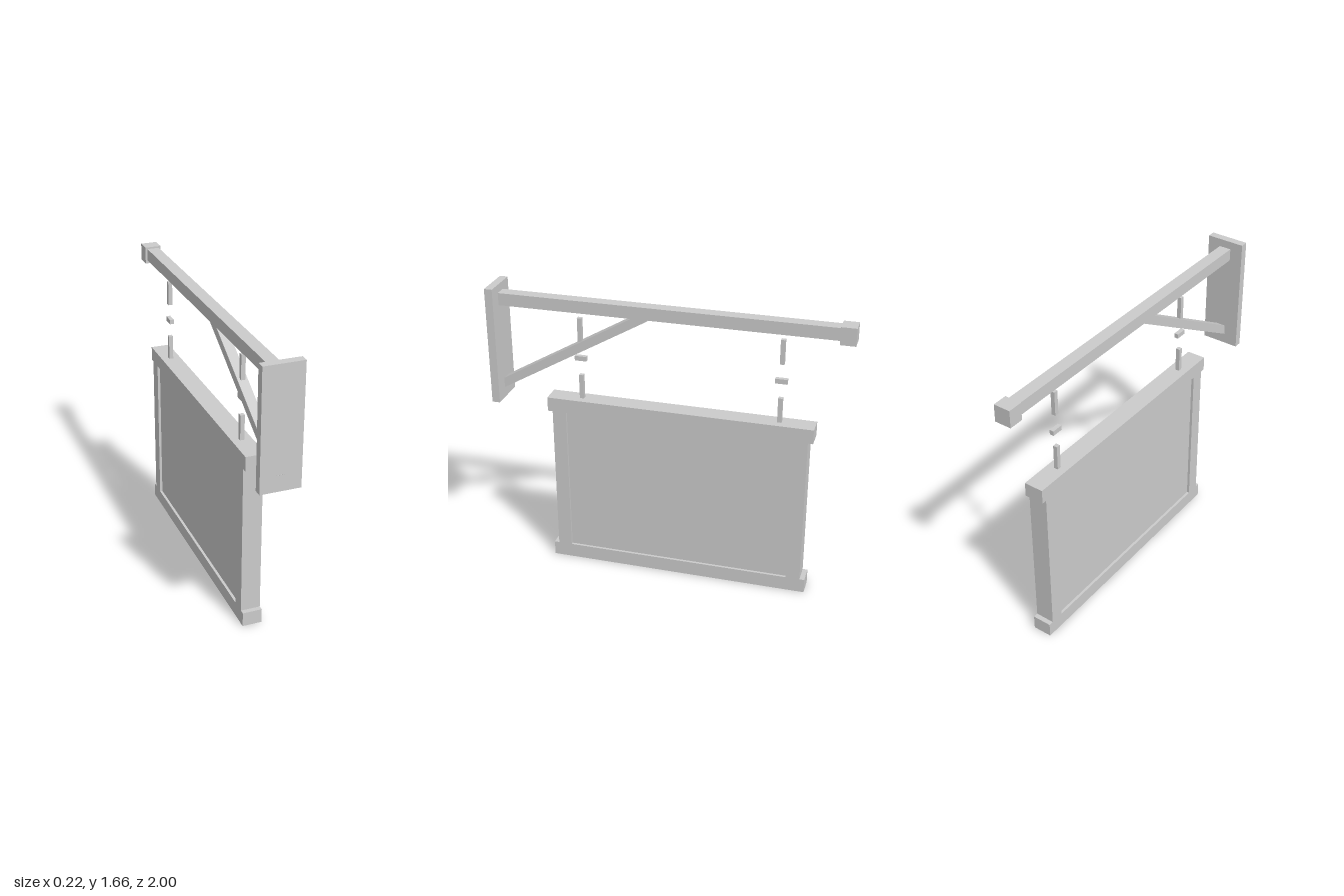
import * as THREE from 'three';

const material = new THREE.MeshStandardMaterial({ color: 0xcccccc, flatShading: true });

// Box centred on x, given its full width and its y and z extents
function box(name, width, [y0, y1], [z0, z1]) {
  const mesh = new THREE.Mesh(new THREE.BoxGeometry(width, y1 - y0, z1 - z0), material);
  mesh.name = name;
  mesh.position.set(0, (y0 + y1) / 2, (z0 + z1) / 2);
  return mesh;
}

export function createModel() {
  const model = new THREE.Group();
  model.name = 'hangingSign';

  // Wall bracket: plate, arm and end cap
  const bracket = new THREE.Group();
  bracket.name = 'bracket';
  bracket.add(
    box('wallPlate', 0.22, [0.995, 1.665], [0.955, 1]),
    box('arm', 0.07, [1.55, 1.62], [-0.93, 0.96]),
    box('armCap', 0.094, [1.532, 1.63], [-1, -0.917])
  );

  // Diagonal brace at 30 degrees, its ends sunk into plate and arm
  const brace = box('brace', 0.055, [-0.025, 0.025], [-0.5, 0.5]);
  brace.position.set(0, 1.314, 0.555);
  brace.rotation.x = Math.PI / 6;
  bracket.add(brace);

  // Two hangers, each an upper bar, a loose link and a lower bar
  for (const [name, z] of [['wallHanger', 0.5], ['outerHanger', -0.62]]) {
    const hanger = new THREE.Group();
    hanger.name = name;
    hanger.position.z = z;
    hanger.add(
      box('upperBar', 0.024, [1.373, 1.512], [-0.012, 0.012]),
      box('link', 0.024, [1.262, 1.289], [-0.033, 0.033]),
      box('lowerBar', 0.024, [1.03, 1.177], [-0.012, 0.012])
    );
    model.add(hanger);
  }

  // Sign board: rails overhang the stiles, panel is recessed on both faces
  const board = new THREE.Group();
  board.name = 'signBoard';
  board.add(
    box('topRail', 0.11, [0.953, 1.035], [-0.815, 0.69]),
    box('bottomRail', 0.11, [0, 0.083], [-0.815, 0.69]),
    box('wallStile', 0.11, [0.083, 0.953], [0.583, 0.662]),
    box('outerStile', 0.11, [0.083, 0.953], [-0.787, -0.708]),
    box('panel', 0.08, [0.083, 0.953], [-0.708, 0.583])
  );

  model.add(bracket, board);
  return model;
}
